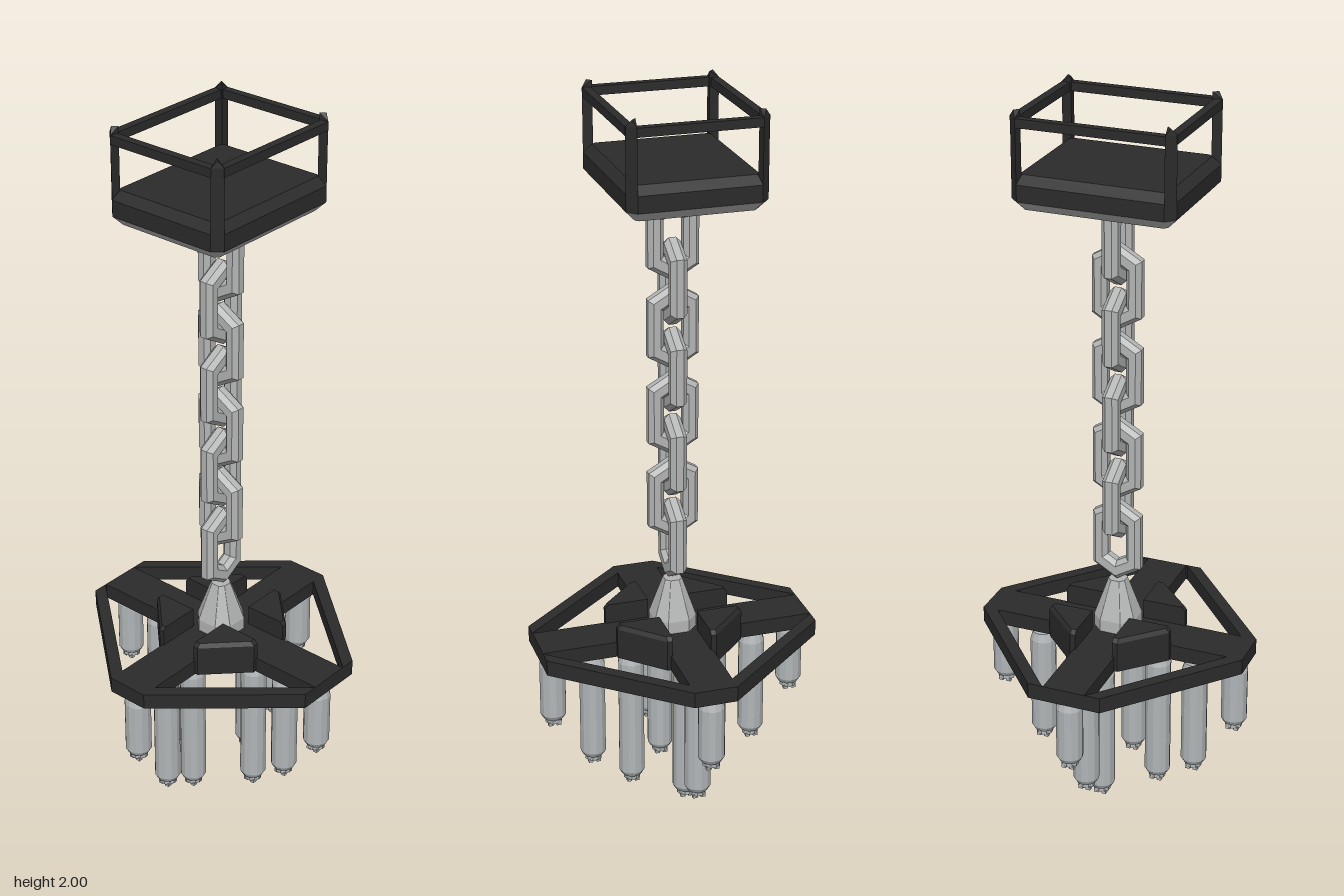
import * as THREE from 'three';
import { ConvexGeometry } from 'three/addons/geometries/ConvexGeometry.js';

const flat = (name, color) => {
  const m = new THREE.MeshStandardMaterial({ color, flatShading: true });
  m.name = name;
  return m;
};

// Solid from stacked rectangles with cut corners: [y, halfX, halfZ, cut]
function loft(sections) {
  const pts = [];
  for (const [y, hx, hz, c] of sections)
    for (const sx of [-1, 1]) for (const sz of [-1, 1])
      pts.push(new THREE.Vector3(sx * hx, y, sz * (hz - c)), new THREE.Vector3(sx * (hx - c), y, sz * hz));
  return new ConvexGeometry(pts);
}

const poly = (pts) => pts.map(([x, y]) => new THREE.Vector2(x, y));

export function createModel() {
  const model = new THREE.Group();
  const iron = flat('dark iron', 0x2b2b2b);
  const steel = flat('grey steel', 0xb4b5b5);
  const lampGrey = flat('lamp grey', 0xb1b5b7);

  const add = (parent, name, geo, mat, x = 0, y = 0, z = 0) => {
    const mesh = new THREE.Mesh(geo, mat);
    mesh.name = name;
    mesh.position.set(x, y, z);
    parent.add(mesh);
    return mesh;
  };

  // Ceiling cage: bevelled tray, light underside, corner posts and top rails
  const cage = new THREE.Group();
  cage.name = 'ceilingCage';
  cage.position.z = -0.004;
  model.add(cage);
  const HX = 0.223, HZ = 0.187;
  add(cage, 'tray', loft([[1.765, HX, HZ, 0.024], [1.81, HX, HZ, 0.024], [1.832, 0.2, 0.164, 0.01]]), iron);
  add(cage, 'trayUnderside', loft([[1.738, 0.197, 0.161, 0.01], [1.765, HX, HZ, 0.024]]), steel);
  for (const sx of [-1, 1]) for (const sz of [-1, 1]) {
    const pts = [];
    for (const [dx, dz, top] of [[0, 0.024, 1.982], [0.024, 0, 1.982], [0.027, 0.027, 2]])
      for (const y of [1.79, top])
        pts.push(new THREE.Vector3(sx * (HX - dx), y, sz * (HZ - dz)));
    pts.push(new THREE.Vector3(sx * (HX - 0.014), 2, sz * (HZ - 0.014)));
    add(cage, 'cornerPost', new ConvexGeometry(pts), iron);
  }
  for (const s of [-1, 1]) {
    add(cage, 'longRail', new THREE.BoxGeometry(0.4, 0.024, 0.023), iron, 0, 1.97, s * (HZ - 0.0115));
    add(cage, 'shortRail', new THREE.BoxGeometry(0.023, 0.024, 0.328), iron, s * (HX - 0.0115), 1.97, 0);
  }

  // Chain: bevelled hexagonal links, every second one turned a quarter
  const hex = (w, shoulder, tip) =>
    poly([[0, tip], [-w, shoulder], [-w, -shoulder], [0, -tip], [w, -shoulder], [w, shoulder]]);
  const linkShape = new THREE.Shape(hex(0.058, 0.073, 0.107));
  linkShape.holes.push(new THREE.Path(hex(0.039, 0.056, 0.079)));
  const linkGeo = new THREE.ExtrudeGeometry(linkShape, {
    depth: 0.02, bevelEnabled: true, bevelThickness: 0.013, bevelSize: 0.012, bevelSegments: 1,
  }).translate(0, 0, -0.01);
  const chain = new THREE.Group();
  chain.name = 'chain';
  model.add(chain);
  for (let i = 0; i < 8; i++) {
    const link = add(chain, 'chainLink', linkGeo, steel, 0, 0.755 + i * 0.1242, 0);
    link.rotation.y = (i % 2) * Math.PI / 2;
  }

  // Hub under the chain
  add(model, 'hub', loft([[0.45, 0.06, 0.06, 0.03], [0.52, 0.06, 0.06, 0.03], [0.61, 0.031, 0.031, 0.015], [0.632, 0.024, 0.024, 0.012]]), steel);

  // Lamp frame: cross arms joined by slanted outer bars
  const frameShape = new THREE.Shape(poly([
    [0.39, -0.06], [0.39, 0.06], [0.104, 0.39], [-0.104, 0.39],
    [-0.39, 0.06], [-0.39, -0.06], [-0.104, -0.39], [0.104, -0.39]]));
  for (const sx of [-1, 1]) for (const sz of [-1, 1])
    frameShape.holes.push(new THREE.Path(poly([[0.06, 0.06], [0.345, 0.06], [0.065, 0.386], [0.06, 0.386]]
      .map(([x, z]) => [x * sx, z * sz]))));
  const frameGeo = new THREE.ExtrudeGeometry(frameShape, { depth: 0.045, bevelEnabled: false })
    .rotateX(-Math.PI / 2);
  add(model, 'lampFrame', frameGeo, iron, 0, 0.44, 0);

  // Raised gussets in the corners of the cross
  for (const sx of [-1, 1]) for (const sz of [-1, 1]) {
    const pts = [];
    for (const [y, e] of [[0.442, 0.18], [0.53, 0.18], [0.542, 0.17]])
      for (const [x, z] of [[0.055, 0.055], [e, 0.055], [0.055, e], [e, 0.07], [0.07, e]])
        pts.push(new THREE.Vector3(sx * x, y, sz * z));
    add(model, 'gusset', new ConvexGeometry(pts), iron);
  }

  // Hanging lamps: three lengths along each arm
  const lamps = new THREE.Group();
  lamps.name = 'lamps';
  model.add(lamps);
  function addLamp(x, z, bottom, top) {
    const lamp = new THREE.Group();
    lamp.name = 'lamp';
    lamp.position.set(x, 0, z);
    lamps.add(lamp);
    const b = bottom + 0.022;
    const profile = poly([[0, b], [0.029, b], [0.037, b + 0.014], [0.037, top - 0.025], [0.029, top], [0, top]]);
    add(lamp, 'lampBody', new THREE.LatheGeometry(profile, 12), lampGrey);
    add(lamp, 'lampCap', new THREE.CylinderGeometry(0.024, 0.024, 0.016, 10), lampGrey, 0, b - 0.006, 0);
    for (let i = 0; i < 4; i++) {
      const a = i * Math.PI / 2 + Math.PI / 4;
      add(lamp, 'capProng', new THREE.BoxGeometry(0.013, 0.012, 0.013), lampGrey,
        Math.cos(a) * 0.016, bottom + 0.006, Math.sin(a) * 0.016);
    }
    if (top < 0.43)
      add(lamp, 'lampStem', new THREE.CylinderGeometry(0.011, 0.011, 0.05, 8), lampGrey, 0, 0.42, 0);
  }
  for (const s of [-1, 1]) {
    addLamp(s * 0.35, 0, 0.225, 0.438);
    addLamp(s * 0.232, 0, 0.063, 0.412);
    addLamp(s * 0.122, 0, 0, 0.412);
    addLamp(0, s * 0.35, 0.225, 0.438);
    addLamp(0, s * 0.236, 0.085, 0.422);
    addLamp(0, s * 0.122, 0, 0.412);
  }
  return model;
}
